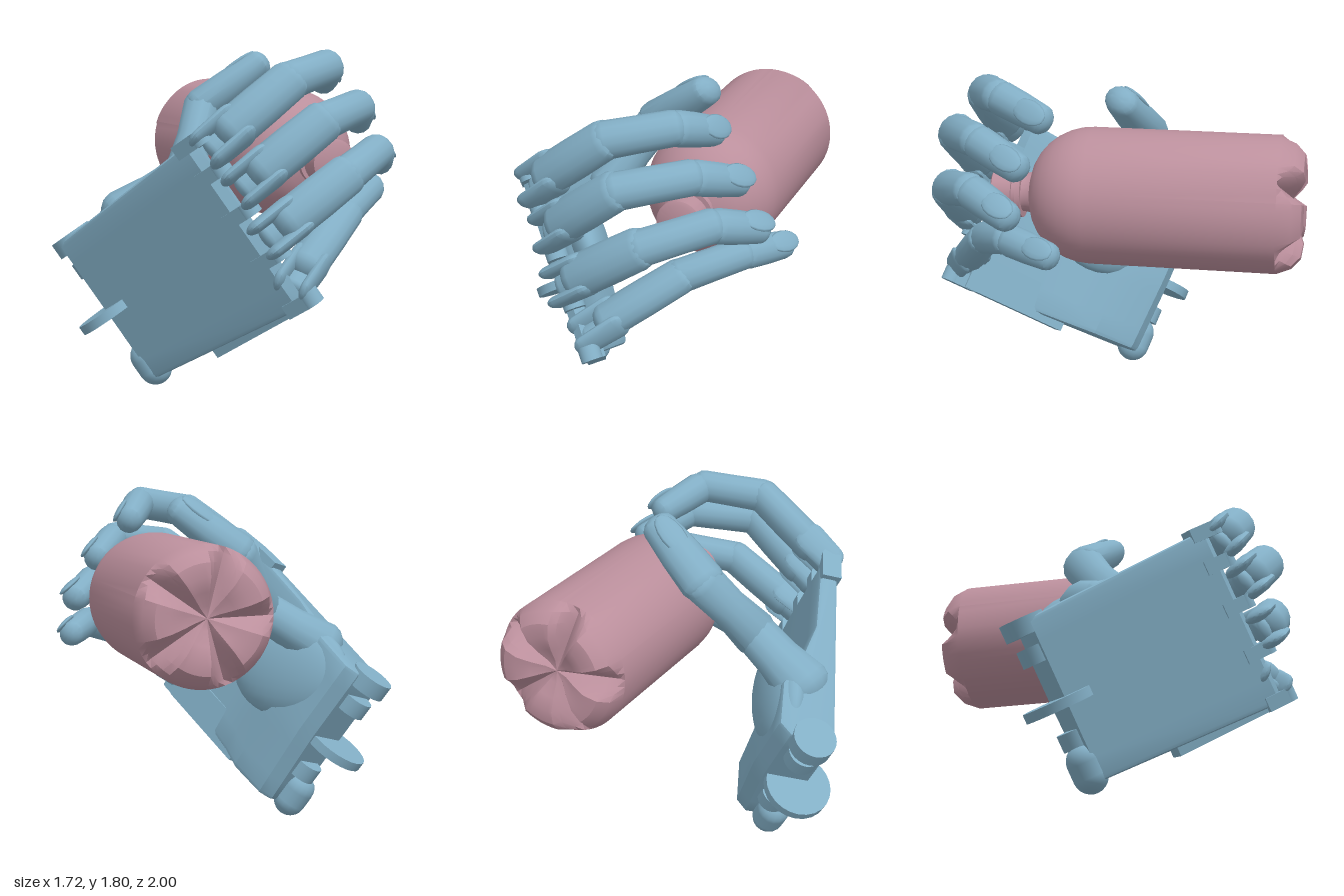
import * as THREE from 'three';
import { toCreasedNormals } from 'three/addons/utils/BufferGeometryUtils.js';

const V = (x, y, z) => new THREE.Vector3(x, y, z);
const handMat = new THREE.MeshStandardMaterial({ color: 0x82aec5 });
const bottleMat = new THREE.MeshStandardMaterial({ color: 0xbb8f9c });

function add(parent, name, geo, mat = handMat) {
  const m = new THREE.Mesh(geo, mat);
  m.name = name;
  parent.add(m);
  return m;
}

// Tapered, round-ended segment from a to b, 'wide' times broader than deep; 'back' is the dorsal direction
function segment(parent, name, a, b, ra, rb, back, wide = 1, waist = 1) {
  const len = a.distanceTo(b), pts = [];
  for (let i = 0; i <= 4; i++) {
    const t = (i / 4) * Math.PI / 2;
    pts.push(new THREE.Vector2(ra * Math.sin(t), -ra * 0.8 * Math.cos(t)));
  }
  pts.push(new THREE.Vector2((ra + rb) / 2 * waist, len / 2));
  for (let i = 0; i <= 4; i++) {
    const t = (i / 4) * Math.PI / 2;
    pts.push(new THREE.Vector2(rb * Math.cos(t), len + rb * 0.8 * Math.sin(t)));
  }
  pts[0].x = pts[pts.length - 1].x = 0;
  const geo = new THREE.LatheGeometry(pts, 14).scale(wide, 1, 1);
  const m = add(parent, name, toCreasedNormals(geo, 0.6));
  const y = b.clone().sub(a).normalize();
  const z = back.clone().addScaledVector(y, -back.dot(y)).normalize();
  const x = y.clone().cross(z);
  m.matrix.makeBasis(x, y, z).setPosition(a);
  m.matrix.decompose(m.position, m.quaternion, m.scale);
  return m;
}

// Oval nail set almost flush on the dorsal side of a tip segment
function nail(tip, len, r) {
  const n = add(tip, 'nail', new THREE.SphereGeometry(1, 12, 8));
  n.scale.set(r * 0.7, len * 0.34, r * 0.2);
  n.position.set(0, len * 0.74, r * 0.76);
}

function finger(name, [k, p, d, t], r) {
  const g = new THREE.Group();
  g.name = name;
  const back = p.clone().sub(k.clone().add(d).multiplyScalar(0.5));
  const tipBack = d.clone().sub(p.clone().add(t).multiplyScalar(0.5));
  const start = k.clone().lerp(p, 0.26);
  const link = segment(g, 'proximalLink', start, p, r * 1.02, r * 0.98, back, 1.18, 1.02);
  // forked root that straddles the knuckle, closed on the palm side
  const reach = k.distanceTo(start);
  for (const s of [-1, 1])
    segment(link, 'forkProng', V(s * r * 0.83, -reach, 0), V(s * r * 0.83, 0.03, 0), r * 0.85, r * 0.95, V(0, 0, 1), 0.42);
  segment(link, 'forkFloor', V(0, -reach * 0.85, -r * 0.35), V(0, 0, -r * 0.35), r * 0.5, r * 0.5, V(0, 0, 1), 1.7);

  segment(g, 'middleLink', p, d, r * 0.98, r * 0.92, tipBack, 1.06, 0.99);
  const end = t.clone().lerp(d, 0.17);
  const tip = segment(g, 'fingertip', d.clone().lerp(t, 0.1), end, r * 0.93, r * 0.8, tipBack, 1.06, 1.03);
  nail(tip, d.distanceTo(end), r);
  return g;
}

// Disc whose axis runs across the palm
function hinge(parent, name, u, v, w, r, width) {
  const m = add(parent, name, toCreasedNormals(new THREE.CylinderGeometry(r, r, width, 24), 0.6));
  m.rotation.z = Math.PI / 2;
  m.position.set(u, v, w);
}

function makePalm() {
  // local axes: x toward the little finger, y toward the fingers, z out of the back of the hand
  const palm = new THREE.Group();
  palm.name = 'palm';
  const x = V(0.48, -0.82, 0.32).normalize();
  const y = V(0.347, 0.512, 0.785);
  y.addScaledVector(x, -x.dot(y)).normalize();
  const z = x.clone().cross(y);
  palm.quaternion.setFromRotationMatrix(new THREE.Matrix4().makeBasis(x, y, z));
  palm.position.set(-0.435, 0.68, 0.36);

  // side profile: thin at the knuckles, deep at the wrist
  const prof = [[-0.56, 0], [0.5, 0], [0.54, -0.04], [0.51, -0.1], [0.12, -0.12],
    [-0.08, -0.19], [-0.26, -0.29], [-0.5, -0.3], [-0.56, -0.24]];
  const shape = new THREE.Shape(prof.map(([a, b]) => new THREE.Vector2(a, b)));
  const geo = new THREE.ExtrudeGeometry(shape, { depth: 0.9, steps: 8, bevelEnabled: true,
    bevelThickness: 0.025, bevelSize: 0.02, bevelOffset: -0.02, bevelSegments: 2 });
  geo.translate(0, 0, -0.45);
  geo.applyMatrix4(new THREE.Matrix4().makeBasis(V(0, 1, 0), V(0, 0, 1), V(1, 0, 0)));
  const pos = geo.attributes.position;
  for (let i = 0; i < pos.count; i++) {
    const u = pos.getX(i), v = pos.getY(i);
    pos.setX(i, u * (0.98 + 0.1 * v));
    pos.setZ(i, pos.getZ(i) * (1 - 0.3 * Math.max(0, u)));
  }
  add(palm, 'palmPlate', toCreasedNormals(geo, 0.5));

  // broad swelling that carries the thumb
  const mound = add(palm, 'thumbMound', new THREE.SphereGeometry(1, 28, 18));
  mound.scale.set(0.27, 0.38, 0.12);
  mound.position.set(-0.17, -0.17, -0.22);
  mound.rotation.z = -0.55;

  // raised panel along the little finger side
  const panel = add(palm, 'sidePanel', new THREE.BoxGeometry(0.2, 0.62, 0.1));
  panel.position.set(0.405, 0.19, -0.065);

  // knuckle lugs on either side of each finger, flush with the back of the hand
  [-0.48, -0.3, -0.06, 0.2, 0.47].forEach((u) => {
    hinge(palm, 'knuckleLug', u, 0.57, -0.045, 0.055, 0.075);
    const web = add(palm, 'lugWeb', new THREE.BoxGeometry(0.075, 0.14, 0.108));
    web.position.set(u, 0.5, -0.045);
  });

  // wrist hinge lugs and the large middle disc
  hinge(palm, 'wristDisc', 0.01, -0.59, -0.05, 0.18, 0.05);
  [[-0.41, 0.115], [-0.26, 0.09], [0.2, 0.08]].forEach(([u, r]) =>
    hinge(palm, 'wristLug', u, -0.56, -0.115, r, 0.09));
  const corner = add(palm, 'wristCornerLug', new THREE.CapsuleGeometry(0.09, 0.08, 6, 16));
  corner.rotation.z = Math.PI / 2;
  corner.position.set(0.36, -0.58, -0.08);
  return palm;
}

function makeThumb() {
  const g = new THREE.Group();
  g.name = 'thumb';
  const a = V(-0.56, 0.92, 0.0), b = V(-0.24, 1.13, 0.07), c = V(-0.04, 1.46, -0.14), t = V(0.255, 1.68, -0.05);
  const back = V(-0.4, 0.7, -0.5);
  segment(g, 'thumbBase', a, b, 0.14, 0.105, back, 1.1, 0.92);
  segment(g, 'thumbLink', b, c, 0.11, 0.1, back, 1.18, 0.88);
  const tip = segment(g, 'thumbTip', c, t, 0.1, 0.078, back, 1.22, 1.04);
  nail(tip, c.distanceTo(t), 0.095);
  return g;
}

function makeBottle() {
  const g = new THREE.Group();
  g.name = 'bottle';
  const pts = [[0, -0.93], [0.06, -0.94], [0.13, -0.975], [0.2, -1], [0.27, -0.99], [0.32, -0.945], [0.35, -0.87], [0.35, 0.08]];
  for (let i = 1; i <= 7; i++) {
    const s = (i / 7) * 1.38;
    pts.push([0.05 + 0.3 * Math.cos(s), 0.08 + 0.32 * Math.sin(s)]);
  }
  // neck with a collar and a cap rim
  pts.push([0.1, 0.42], [0.1, 0.44], [0.13, 0.44], [0.13, 0.465], [0.1, 0.465], [0.1, 0.49],
    [0.12, 0.49], [0.12, 0.59], [0.1, 0.6], [0, 0.6]);
  const geo = new THREE.LatheGeometry(pts.map(([r, z]) => new THREE.Vector2(r, z)), 60);
  geo.rotateX(Math.PI / 2);
  // five V notches in the base
  const pos = geo.attributes.position, step = Math.PI * 2 / 5;
  for (let i = 0; i < pos.count; i++) {
    const z = pos.getZ(i);
    if (z > -0.88) continue;
    const q = (Math.atan2(pos.getY(i), pos.getX(i)) - Math.PI / 5) / step;
    const f = Math.max(0, 1 - Math.abs(q - Math.round(q)) * step / (Math.PI / 10));
    const r = Math.hypot(pos.getX(i), pos.getY(i));
    if (r > 0.01) pos.setZ(i, z + (-0.93 + 0.2 * r - z) * f);
  }
  add(g, 'bottleBody', toCreasedNormals(geo, 0.5), bottleMat);
  g.position.set(0.36, 1.21, 0);
  return g;
}

export function createModel() {
  const model = new THREE.Group();
  model.name = 'handHoldingBottle';
  model.add(makePalm(), makeThumb(), makeBottle());
  // knuckle, middle joint, end joint, tip
  const fingers = {
    indexFinger: [V(-0.4, 1.33, 0.69), V(0.02, 1.645, 0.72), V(0.32, 1.7, 0.58), V(0.46, 1.6, 0.28)],
    middleFinger: [V(-0.28, 1.14, 0.79), V(0.13, 1.45, 0.86), V(0.45, 1.5, 0.67), V(0.63, 1.39, 0.37)],
    ringFinger: [V(-0.18, 0.9, 0.87), V(0.26, 1.18, 0.87), V(0.56, 1.27, 0.68), V(0.75, 1.17, 0.4)],
    littleFinger: [V(-0.04, 0.66, 0.88), V(0.39, 0.96, 0.65), V(0.65, 1.05, 0.47), V(0.81, 1.01, 0.18)],
  };
  for (const [name, joints] of Object.entries(fingers))
    model.add(finger(name, joints, name === 'littleFinger' ? 0.084 : 0.092));
  return model;
}
